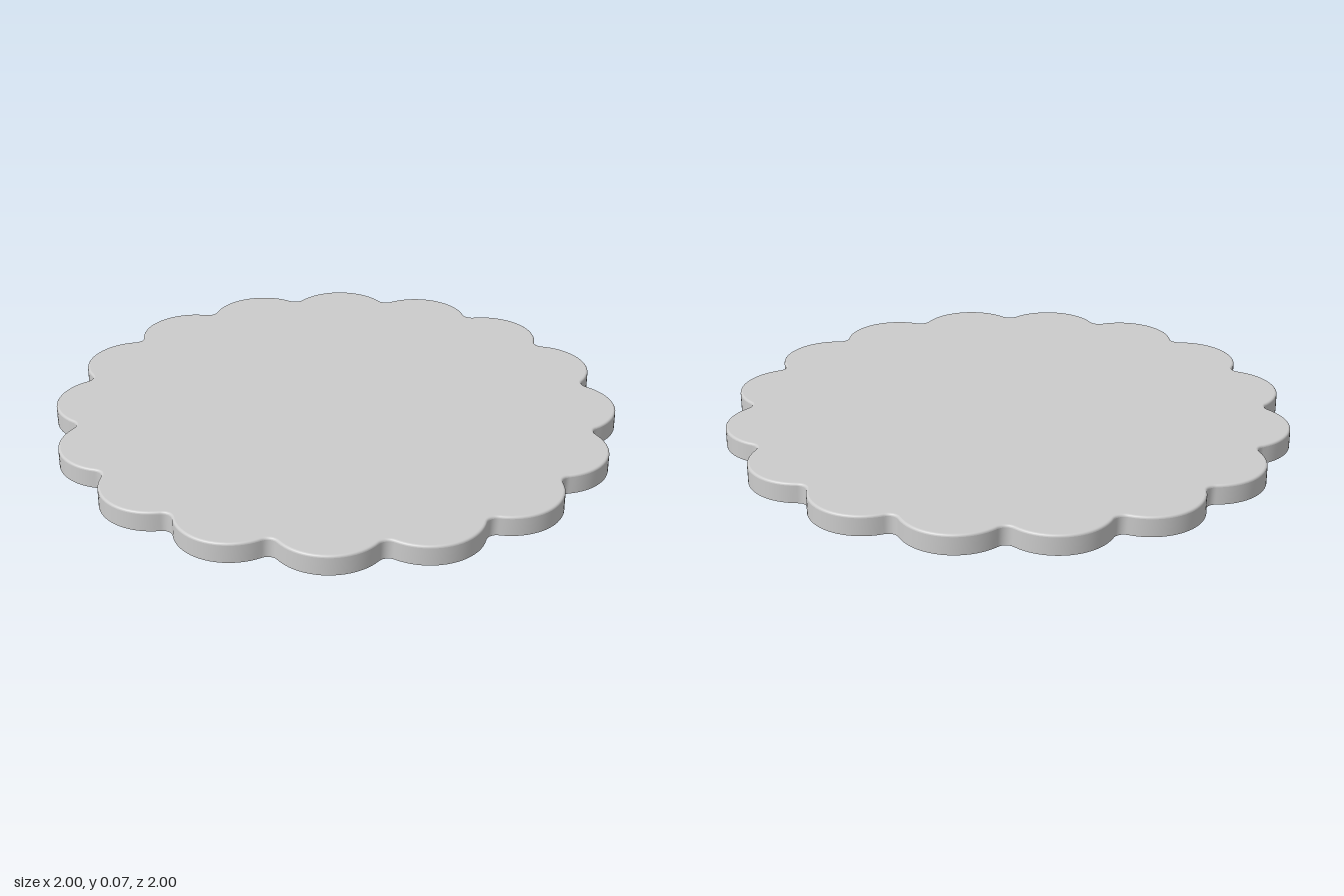
import * as THREE from 'three';

const LOBES = 16, HEIGHT = 0.07, BEVEL = 0.008;
const LOBE_R = 0.19, VALLEY_R = 0.035;

// Scalloped outline: convex lobe arcs joined by small concave arcs, shrunk by `inset`
function outline(inset) {
  const half = Math.PI / LOBES, c = 1 - LOBE_R;
  const s = c * Math.sin(half);
  const d = c * Math.cos(half) + Math.sqrt((LOBE_R + VALLEY_R) ** 2 - s * s);
  const phi = Math.atan2(d * Math.sin(half), d * Math.cos(half) - c);
  const points = [];
  const arc = (dist, dir, r, from, to, steps) => {
    for (let i = 0; i < steps; i++) {
      const a = from + (to - from) * i / steps;
      points.push(new THREE.Vector2(
        dist * Math.cos(dir) + r * Math.cos(a),
        dist * Math.sin(dir) + r * Math.sin(a)));
    }
  };
  for (let k = 0; k < LOBES; k++) {
    const t = k * 2 * half;
    arc(c, t, LOBE_R - inset, t - phi, t + phi, 20);
    arc(d, t + half, VALLEY_R + inset, t + phi + Math.PI, t + 2 * half - phi + Math.PI, 8);
  }
  return points;
}

// Skin through closed outlines stacked as [inset, y] rows
function skin(rows) {
  const pos = [], index = [];
  let n = 0;
  for (const [inset, y] of rows) {
    const pts = outline(inset);
    n = pts.length;
    pts.forEach(p => pos.push(p.x, y, -p.y));
  }
  for (let r = 0; r < rows.length - 1; r++) {
    for (let i = 0; i < n; i++) {
      const a = r * n + i, b = r * n + (i + 1) % n;
      index.push(a, b, b + n, a, b + n, a + n);
    }
  }
  const geo = new THREE.BufferGeometry();
  geo.setAttribute('position', new THREE.Float32BufferAttribute(pos, 3));
  geo.setIndex(index);
  geo.computeVertexNormals();
  return geo;
}

export function createModel() {
  const group = new THREE.Group();
  group.name = 'scallopedPlate';
  const material = new THREE.MeshStandardMaterial({ color: 0xcccccc, side: THREE.DoubleSide });
  const add = (name, geo) => {
    const mesh = new THREE.Mesh(geo, material);
    mesh.name = name;
    group.add(mesh);
  };

  // Thin side wall, open underneath
  add('sideWall', skin([[0, 0], [0, HEIGHT - BEVEL]]));

  // Small rounded edge between wall and top
  const rows = [];
  for (let i = 0; i <= 4; i++) {
    const a = i / 4 * Math.PI / 2;
    rows.push([BEVEL * (1 - Math.cos(a)), HEIGHT - BEVEL * (1 - Math.sin(a))]);
  }
  add('roundedEdge', skin(rows));

  // Flat top surface
  const top = new THREE.ShapeGeometry(new THREE.Shape(outline(BEVEL)));
  top.rotateX(-Math.PI / 2).translate(0, HEIGHT, 0);
  add('topSurface', top);

  return group;
}
